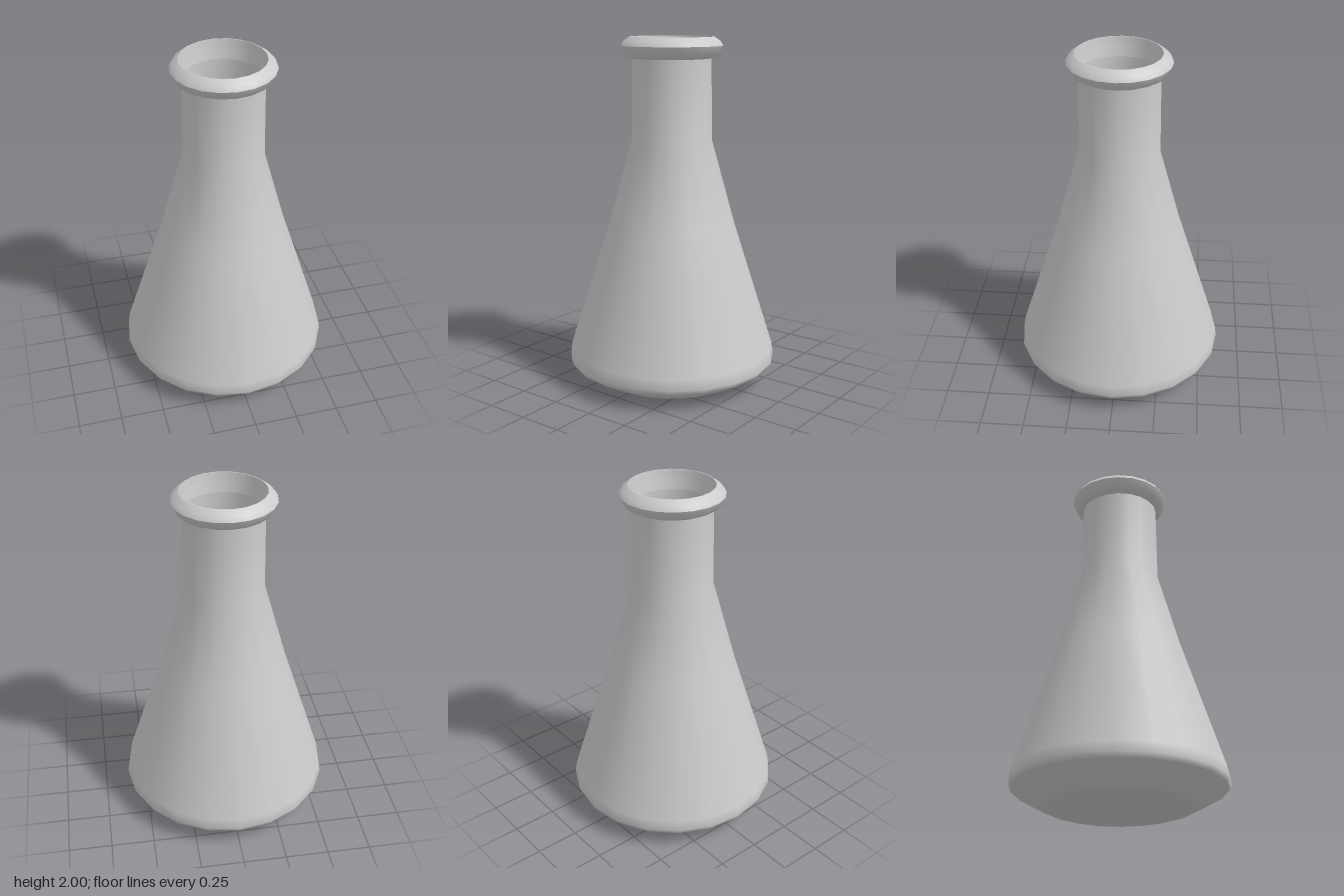
import * as THREE from 'three';

const SIDES = 20;

export function createModel() {
  const flask = new THREE.Group();
  flask.name = 'conicalFlask';
  const glass = new THREE.MeshStandardMaterial({ color: 0xcccccc });

  // Each part is one smooth band; a new part starts at every sharp edge.
  const turned = (name, profile) => {
    const points = profile.map(([r, y]) => new THREE.Vector2(r, y));
    const mesh = new THREE.Mesh(new THREE.LatheGeometry(points, SIDES), glass);
    mesh.name = name;
    flask.add(mesh);
  };

  // Outside: flat foot, bevelled heel, cone and straight neck
  turned('outerBody', [
    [0, 0], [0.4, 0], [0.43, 0.01], [0.595, 0.1], [0.61, 0.13], [0.6, 0.19],
    [0.365, 0.93], [0.23, 1.42], [0.225, 1.88],
  ]);

  // Rolled lip
  turned('lipUnderside', [[0.225, 1.88], [0.265, 1.9], [0.29, 1.95]]);
  turned('lipTop', [[0.29, 1.95], [0.275, 1.975], [0.24, 2]]);
  turned('lipEdge', [[0.24, 2], [0.235, 2]]);

  // Inside of the mouth, running downwards
  turned('mouthWall', [[0.235, 2], [0.229, 1.96]]);
  turned('mouthSlope', [[0.229, 1.96], [0.216, 1.89]]);

  // Hollow inside: neck, cone and floor
  turned('innerWall', [
    [0.216, 1.89], [0.212, 1.42], [0.345, 0.93], [0.575, 0.2], [0.58, 0.14],
    [0.56, 0.11], [0.4, 0.03],
  ]);
  turned('innerFloor', [[0.4, 0.03], [0, 0.03]]);

  return flask;
}
